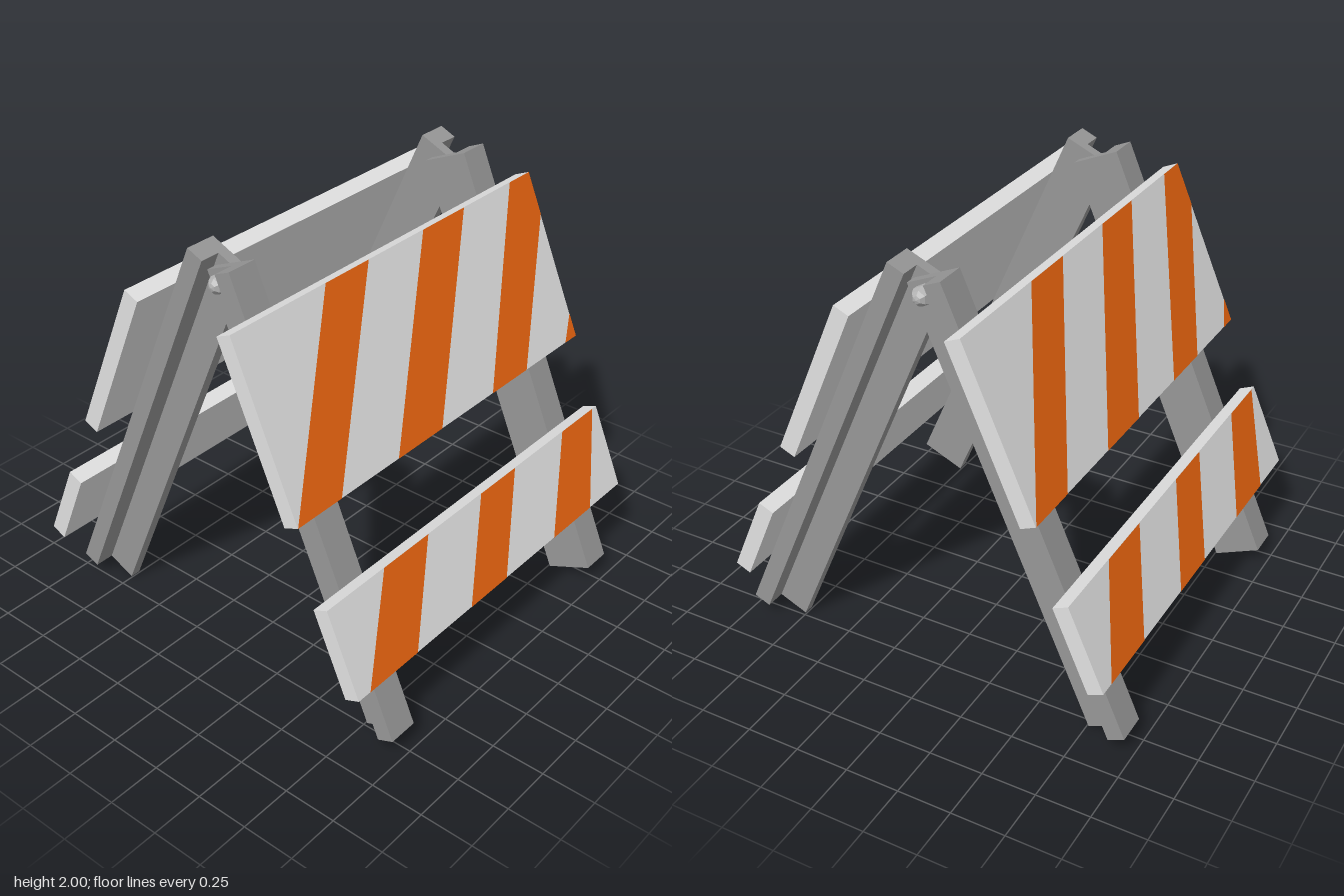
import * as THREE from 'three';

const material = (name, color) => {
  const m = new THREE.MeshStandardMaterial({ color });
  m.name = name;
  return m;
};

const LEG_LENGTH = 2.08, LEG_WIDTH = 0.23, FLANGE = 0.083;
const WEB_IN = 0.685, WEB_OUT = 0.735, FLANGE_OUT = 0.83; // z of the leg faces
const BOARD_HALF = 0.99, BOARD_THICK = 0.076;

// Boards: distance down the leg, and stripe corners as [z, fraction of board height]
const BOARDS = [
  {
    name: 'upperBoard', top: 0.197, bottom: 1.004,
    stripes: [
      [[0.99, 0], [0.727, 0], [0.17, 1], [0.44, 1]],
      [[0.36, 0], [0.06, 0], [-0.488, 1], [-0.196, 1]],
      [[-0.313, 0], [-0.578, 0], [-0.99, 0.75], [-0.99, 1], [-0.838, 1]],
      [[-0.9, 0], [-0.99, 0], [-0.99, 0.14]],
    ],
  },
  {
    name: 'lowerBoard', top: 1.366, bottom: 1.778,
    stripes: [
      [[0.918, 0], [0.605, 0], [0.334, 1], [0.631, 1]],
      [[0.223, 0], [-0.042, 0], [-0.308, 1], [-0.048, 1]],
      [[-0.424, 0], [-0.732, 0], [-0.955, 1], [-0.695, 1]],
    ],
  },
];

export function createModel() {
  const steel = material('leg grey', 0x969696);
  const white = material('board white', 0xe0e0e0);
  const orange = material('stripe orange', 0xe8640f);
  const boltMetal = material('bolt grey', 0xb4b4b4);
  boltMetal.flatShading = true;

  const add = (parent, name, geometry, mat) => {
    const mesh = new THREE.Mesh(geometry, mat);
    mesh.name = name;
    parent.add(mesh);
    return mesh;
  };

  // L-section leg running down local -y, outer face on local x = 0
  const legGeometry = (side) => {
    const corners = [
      [0, WEB_IN], [0, FLANGE_OUT], [-FLANGE, FLANGE_OUT],
      [-FLANGE, WEB_OUT], [-LEG_WIDTH, WEB_OUT], [-LEG_WIDTH, WEB_IN],
    ];
    const shape = new THREE.Shape(corners.map(([x, z]) => new THREE.Vector2(x, z * side)));
    return new THREE.ExtrudeGeometry(shape, { depth: LEG_LENGTH, bevelEnabled: false })
      .rotateX(Math.PI / 2);
  };

  // One leaning half: two legs, two striped boards and a pivot bolt
  const buildFrame = (name) => {
    const frame = new THREE.Group();
    frame.name = name;

    const slope = new THREE.Group();
    slope.name = 'leaningPanel';
    slope.position.set(0.135, 2, 0);
    slope.rotation.z = 0.4118;
    frame.add(slope);

    add(slope, 'frontLeg', legGeometry(1), steel);
    add(slope, 'backLeg', legGeometry(-1), steel);

    for (const { name: boardName, top, bottom, stripes } of BOARDS) {
      const height = bottom - top;
      const board = add(slope, boardName,
        new THREE.BoxGeometry(BOARD_THICK, height, BOARD_HALF * 2), white);
      board.position.set(BOARD_THICK / 2, -(top + bottom) / 2, 0);

      // Painted stripes just proud of the outer face
      for (const corners of stripes) {
        const shape = new THREE.Shape(
          corners.map(([z, t]) => new THREE.Vector2(-z, t * height - bottom)));
        const stripe = add(slope, 'stripe',
          new THREE.ShapeGeometry(shape).rotateY(Math.PI / 2), orange);
        stripe.position.x = BOARD_THICK + 0.002;
      }
    }

    // Six-sided domed bolt head on the outside of the web
    const profile = [[0.045, 0], [0.045, 0.025], [0.034, 0.05], [0.018, 0.065], [0, 0.07]]
      .map(([r, h]) => new THREE.Vector2(r, h));
    const bolt = add(frame, 'pivotBolt',
      new THREE.LatheGeometry(profile, 6).rotateX(Math.PI / 2), boltMetal);
    bolt.position.set(0.008, 1.88, WEB_OUT);
    return frame;
  };

  const model = new THREE.Group();
  model.name = 'foldingBarricade';
  const leftFrame = buildFrame('leftFrame');
  // The opposite half is turned around and shifted by one web thickness
  const rightFrame = buildFrame('rightFrame');
  rightFrame.rotation.y = Math.PI;
  rightFrame.position.z = WEB_IN - WEB_OUT;
  // Boards of both halves stay aligned
  rightFrame.traverse((o) => {
    if (/Board$|^stripe$/.test(o.name)) o.position.z += WEB_IN - WEB_OUT;
  });
  model.add(leftFrame, rightFrame);
  return model;
}
